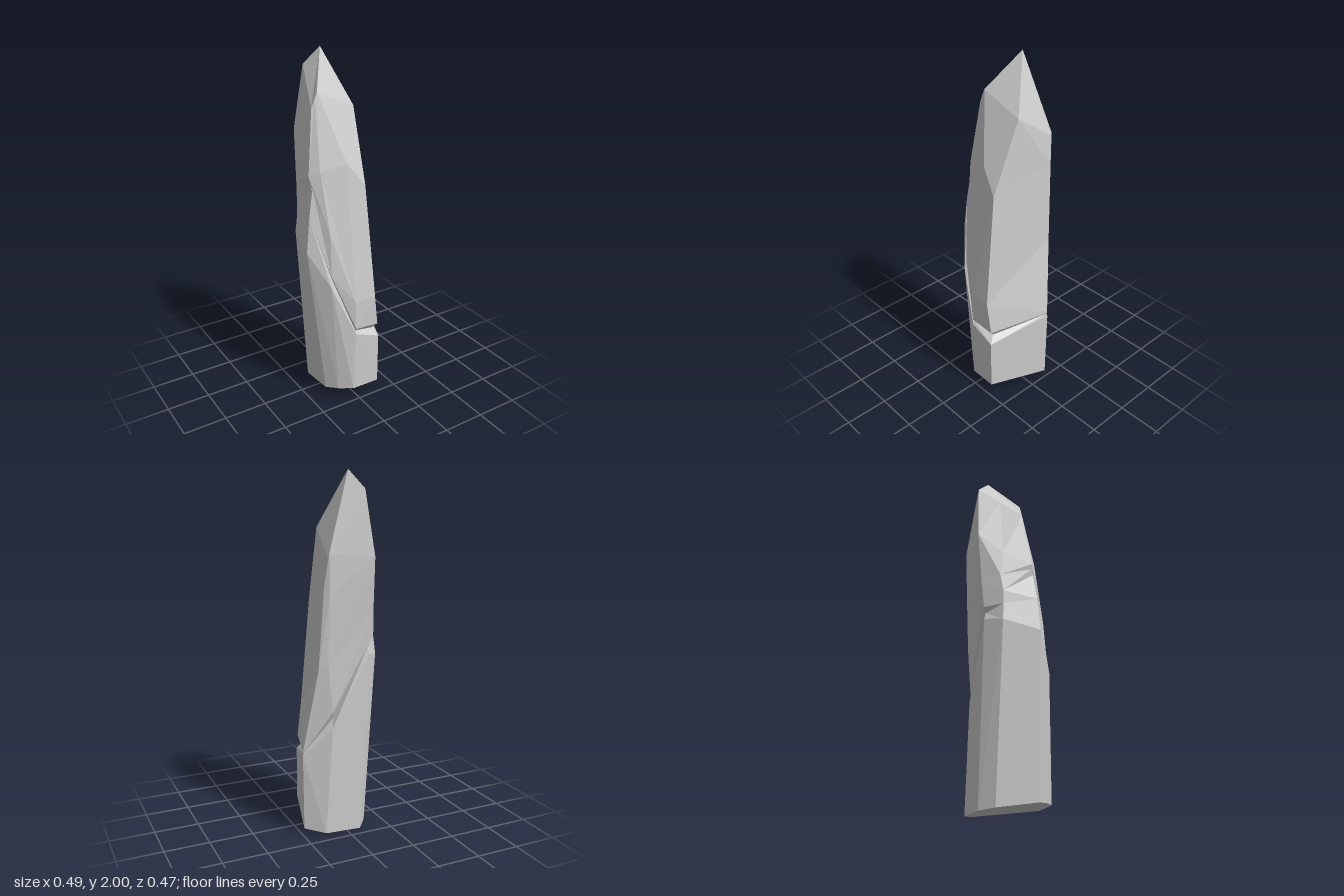
import * as THREE from 'three';

// Upright edges of the shard, counterclockwise seen from above.
// Each runs through base, crack rim, middle, upper and shoulder.
const edges = [
  // front right corner
  [[.135, .07, .235], [.135, .38, .235], [.105, .65, .235], [.08, 1.3, .155], [.1, 1.7, 0]],
  // right corner
  [[.235, .03, -.12], [.24, .46, -.12], [.17, .95, -.18], [.145, 1.4, -.2], [.13, 1.56, -.21]],
  // back right corner
  [[.13, .01, -.19], [.09, .62, -.19], [.12, .98, -.195], [.12, 1.35, -.215], [.125, 1.57, -.22]],
  // back left corner
  [[-.08, 0, -.19], [-.13, 1.02, -.19], [-.132, 1.25, -.21], [-.135, 1.55, -.235], [-.08, 1.9, -.22]],
  // left side
  [[-.14, .01, -.12], [-.208, 1, -.11], [-.19, 1.28, -.12], [-.18, 1.43, -.1], [-.125, 1.81, -.1]],
  // left corner
  [[-.15, .05, .11], [-.25, .95, .09], [-.208, 1.34, .058], [-.215, 1.37, .06], [-.17, 1.72, .02]],
  // front left corner
  [[-.1, .06, .175], [-.15, .75, .18], [-.14, 1.05, .155], [-.165, 1.4, .095], [-.15, 1.77, .02]],
  // front ridge
  [[-.03, .068, .23], [-.02, .44, .235], [-.025, .65, .233], [-.02, 1.43, .13], [-.135, 1.8, .02]],
];

// Crack at each edge: height, then how far its floor and its top draw in
const cracks = [
  [.08, .84, .97], [.03, .98, .99], [.09, .82, .97], [.07, .95, 1.02],
  [.18, .95, .95], [.36, .91, .8], [.06, .87, .95], [.035, .95, 1],
];
const tip = [-.02, 2, -.14];
const baseCentre = [.02, .035, .02];

// Opens the crack above an edge's rim point
function openCrack([base, rim, ...rest], [height, floor, top]) {
  const [x, y, z] = rim;
  return [
    base, rim,
    [x * floor, y + height * .55, z * floor],
    [x * top, y + height, z * top],
    ...rest,
  ];
}

// Squared distance of a segment's midpoint from the shard's long axis
const spread = (p, q) => ((p[0] + q[0]) / 2) ** 2 + ((p[2] + q[2]) / 2 + .02) ** 2;

export function createModel() {
  const pos = [];
  const tri = (...corners) => corners.forEach(c => pos.push(...c));
  const columns = edges.map((edge, i) => openCrack(edge, cracks[i]));

  columns.forEach((e, i) => {
    const n = columns[(i + 1) % columns.length];
    // walls: split each quad along its outer diagonal
    for (let k = 0; k < e.length - 1; k++) {
      const [a, b, c, d] = [e[k], n[k], n[k + 1], e[k + 1]];
      if (spread(a, c) > spread(b, d)) {
        tri(a, b, c);
        tri(a, c, d);
      } else {
        tri(a, b, d);
        tri(b, c, d);
      }
    }
    // pointed top and slanted base
    tri(e.at(-1), n.at(-1), tip);
    tri(n[0], e[0], baseCentre);
  });

  const geometry = new THREE.BufferGeometry();
  geometry.setAttribute('position', new THREE.Float32BufferAttribute(pos, 3));
  geometry.computeVertexNormals();

  const shard = new THREE.Mesh(geometry, new THREE.MeshStandardMaterial({ color: 0xcccccc, flatShading: true }));
  shard.name = 'rockShard';
  const group = new THREE.Group();
  group.name = 'standingRock';
  group.add(shard);
  return group;
}
